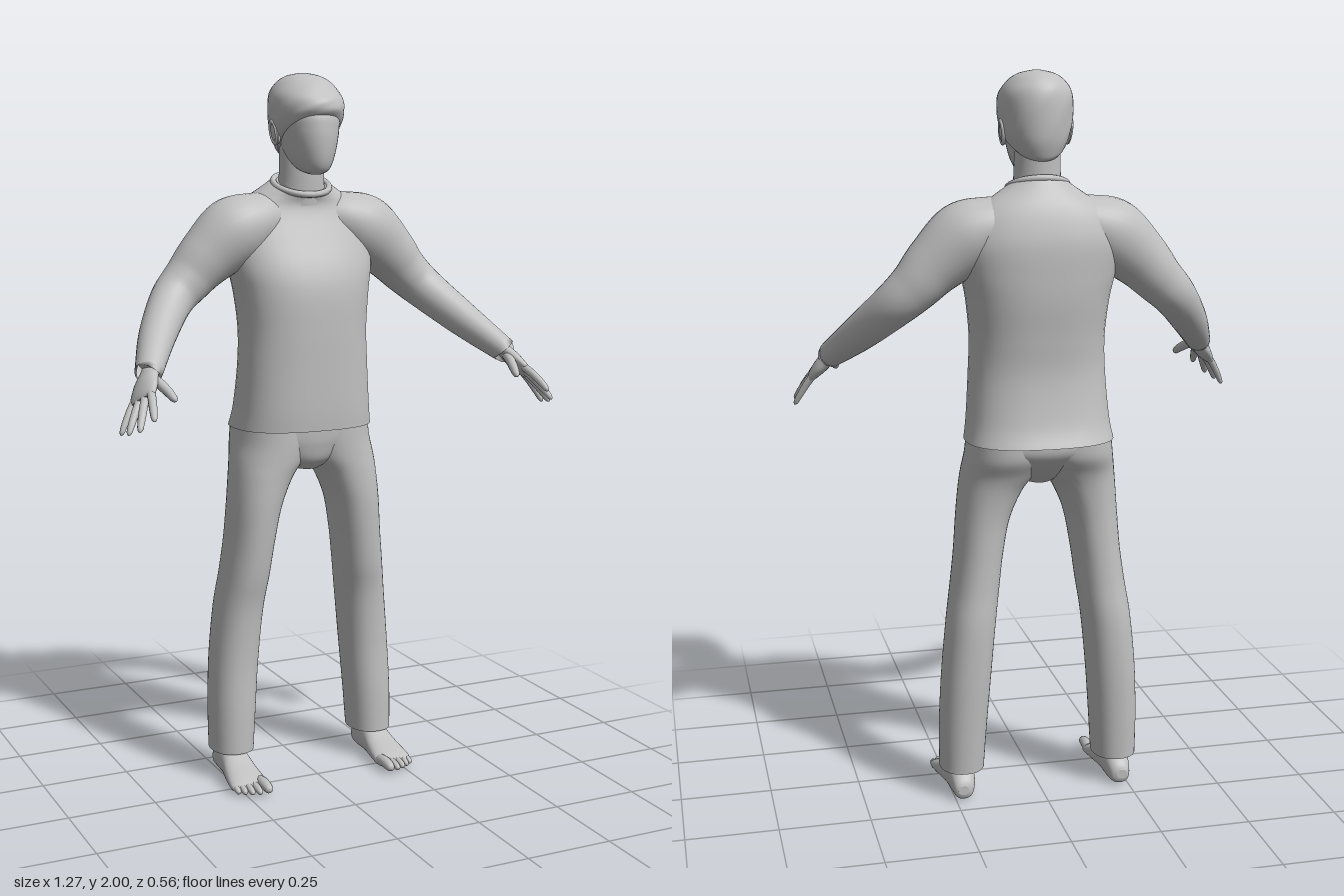
import * as THREE from 'three';

const grey = new THREE.MeshStandardMaterial({ color: 0xc0c0c0 });
grey.name = 'plain grey';

// Column-wise Catmull-Rom refinement of section rows
function smooth(rows, k) {
  const out = [];
  const at = i => rows[Math.max(0, Math.min(rows.length - 1, i))];
  for (let i = 0; i < rows.length - 1; i++) {
    for (let s = 0; s < k; s++) {
      const t = s / k;
      out.push(rows[i].map((b, c) => {
        const a = at(i - 1)[c], d = at(i + 1)[c], e = at(i + 2)[c];
        return b + 0.5 * t * (d - a + t * (2 * a - 5 * b + 4 * d - e + t * (3 * (b - d) + e - a)));
      }));
    }
  }
  out.push(rows[rows.length - 1]);
  return out;
}

// Closed skin over equal-length rings, with flat sharp-edged end caps
function skin(rings) {
  const n = rings[0].length, pos = [], idx = [];
  rings.forEach(r => r.forEach(p => pos.push(p.x, p.y, p.z)));
  for (let i = 0; i < rings.length - 1; i++) {
    for (let j = 0; j < n; j++) {
      const a = i * n + j, b = i * n + (j + 1) % n;
      idx.push(a, a + n, b, b, a + n, b + n);
    }
  }
  [rings[0], rings[rings.length - 1]].forEach((r, end) => {
    const base = pos.length / 3, c = new THREE.Vector3();
    r.forEach(p => { c.add(p); pos.push(p.x, p.y, p.z); });
    c.divideScalar(n);
    pos.push(c.x, c.y, c.z);
    for (let j = 0; j < n; j++) {
      const a = base + j, b = base + (j + 1) % n;
      if (end) idx.push(base + n, b, a); else idx.push(base + n, a, b);
    }
  });
  const g = new THREE.BufferGeometry();
  g.setAttribute('position', new THREE.Float32BufferAttribute(pos, 3));
  g.setIndex(idx);
  g.computeVertexNormals();
  return g;
}

// Upright form; rows are [y, x0, x1, zBack, zFront, squareness, frontLift]
function column(rows, bump = () => 0, seg = 40) {
  return skin(smooth(rows, 6).map(([y, x0, x1, zb, zf, e, lift]) =>
    Array.from({ length: seg }, (_, j) => {
      const a = j / seg * Math.PI * 2, c = Math.cos(a), s = Math.sin(a);
      const k = 1 + bump(a, y);
      const px = Math.sign(c) * Math.abs(c) ** (2 / e), pz = Math.sign(s) * Math.abs(s) ** (2 / e);
      return new THREE.Vector3((x0 + x1) / 2 + px * k * (x1 - x0) / 2, y + lift * pz,
        (zb + zf) / 2 + pz * k * (zf - zb) / 2);
    })));
}

// Bent form along a path; rows are [x, y, z, radius across, radius through]
function limb(rows, across = [0, 0, 1], seg = 28) {
  const r = smooth(rows, 6);
  const P = r.map(q => new THREE.Vector3(q[0], q[1], q[2]));
  return skin(r.map((q, i) => {
    const t = P[Math.min(i + 1, P.length - 1)].clone().sub(P[Math.max(i - 1, 0)]).normalize();
    const u = new THREE.Vector3(...across);
    u.addScaledVector(t, -u.dot(t)).normalize();
    const v = u.clone().cross(t);
    return Array.from({ length: seg }, (_, j) => {
      const a = j / seg * Math.PI * 2;
      return P[i].clone().addScaledVector(u, Math.cos(a) * q[3]).addScaledVector(v, Math.sin(a) * q[4]);
    });
  }));
}

// Tapered digit with a rounded tip
function digit(from, to, r) {
  const a = new THREE.Vector3(...from), b = new THREE.Vector3(...to);
  const rows = [[0, 1], [0.35, 0.98], [0.7, 0.88], [0.9, 0.7], [0.97, 0.42], [1, 0.05]].map(([t, k]) => {
    const p = a.clone().lerp(b, t);
    return [p.x, p.y + Math.sin(t * Math.PI) * 0.005, p.z, r * k, r * k];
  });
  return limb(rows, [1, 0.2, 0], 12);
}

function mirrored(g) {
  const m = g.clone().scale(-1, 1, 1), ix = m.index.array;
  for (let i = 0; i < ix.length; i += 3) [ix[i], ix[i + 1]] = [ix[i + 1], ix[i]];
  m.computeVertexNormals();
  return m;
}

export function createModel() {
  const model = new THREE.Group();
  model.name = 'standingMan';
  const add = (name, g) => {
    const m = new THREE.Mesh(g, grey);
    m.name = name;
    model.add(m);
  };
  const pair = (name, g) => { add(name + 'Left', g); add(name + 'Right', mirrored(g)); };
  const even = rows => rows.map(([y, w, zb, zf, e = 2, lift = 0]) => [y, -w, w, zb, zf, e, lift]);

  // Sweater body
  add('sweater', column(even([
    [1.02, 0.204, -0.278, 0.03, 2.5], [1.08, 0.195, -0.255, 0.033, 2.5], [1.2, 0.187, -0.236, 0.034, 2.4],
    [1.3, 0.184, -0.24, 0.034, 2.4], [1.4, 0.194, -0.25, 0.03, 2.4], [1.47, 0.208, -0.252, 0.014, 2.4],
    [1.55, 0.215, -0.25, -0.02, 2.4], [1.61, 0.198, -0.238, -0.045, 2.3], [1.65, 0.165, -0.22, -0.053, 2.2, -0.008],
    [1.68, 0.12, -0.195, -0.048, 2, -0.018], [1.7, 0.085, -0.175, -0.04, 2, -0.028]])));

  // Neckline band
  const loop = Array.from({ length: 24 }, (_, i) => {
    const a = i / 24 * Math.PI * 2;
    return new THREE.Vector3(Math.cos(a) * 0.08, 1.698 - 0.027 * Math.sin(a), -0.108 + Math.sin(a) * 0.066);
  });
  add('collar', new THREE.TubeGeometry(new THREE.CatmullRomCurve3(loop, true), 64, 0.009, 10, true));

  // Sleeves
  pair('sleeve', limb([
    [0.07, 1.605, -0.13, 0.07, 0.065], [0.13, 1.597, -0.127, 0.09, 0.08], [0.2, 1.567, -0.122, 0.096, 0.098],
    [0.28, 1.502, -0.123, 0.078, 0.082], [0.335, 1.445, -0.122, 0.066, 0.069], [0.392, 1.39, -0.1, 0.059, 0.06],
    [0.465, 1.31, -0.01, 0.052, 0.05], [0.527, 1.238, 0.098, 0.041, 0.037], [0.533, 1.231, 0.108, 0.039, 0.035]]));

  // Hands
  const across = [-0.41, 0.375, 0.83];
  pair('palm', limb([
    [0.515, 1.25, 0.08, 0.03, 0.024], [0.535, 1.225, 0.115, 0.031, 0.02], [0.553, 1.2, 0.14, 0.042, 0.02],
    [0.57, 1.176, 0.166, 0.045, 0.015], [0.576, 1.167, 0.176, 0.038, 0.009]], across));
  [['indexFinger', [0.556, 1.187, 0.19], [0.58, 1.13, 0.279], 0.0115],
    ['middleFinger', [0.565, 1.179, 0.172], [0.61, 1.1, 0.252], 0.0115],
    ['ringFinger', [0.573, 1.171, 0.156], [0.627, 1.087, 0.213], 0.011],
    ['littleFinger', [0.582, 1.165, 0.138], [0.632, 1.08, 0.168], 0.01],
    ['thumb', [0.532, 1.217, 0.132], [0.505, 1.17, 0.235], 0.014]]
    .forEach(([name, a, b, r]) => pair(name, digit(a, b, r)));

  // Trousers
  add('trouserSeat', column(even([
    [0.9, 0.04, -0.16, -0.04], [0.93, 0.11, -0.2, -0.012], [0.97, 0.185, -0.238, 0],
    [1.0, 0.198, -0.256, 0.004, 2.3], [1.04, 0.198, -0.258, 0.006, 2.4]])));
  pair('trouserLeg', column([
    [0.08, 0.16, 0.284, -0.196, -0.045], [0.2, 0.152, 0.284, -0.204, -0.044], [0.35, 0.14, 0.277, -0.212, -0.047],
    [0.5, 0.126, 0.262, -0.214, -0.038], [0.6, 0.113, 0.247, -0.206, -0.02], [0.7, 0.1, 0.234, -0.202, -0.008],
    [0.8, 0.08, 0.226, -0.202, 0], [0.88, 0.045, 0.219, -0.21, 0.002], [0.93, 0.008, 0.213, -0.224, 0.003],
    [0.98, -0.01, 0.204, -0.25, 0.004], [1.03, -0.01, 0.198, -0.255, 0.004]].map(r => [...r, 2.2, 0])));

  // Bare feet
  pair('ankle', limb([[0.226, 0.04, -0.135, 0.038, 0.034], [0.225, 0.08, -0.13, 0.042, 0.034],
    [0.222, 0.15, -0.125, 0.042, 0.038]]));
  pair('foot', column([
    [-0.195, 0.215, 0.245, -0.045, -0.018], [-0.185, 0.2, 0.255, -0.062, -0.003], [-0.15, 0.19, 0.262, -0.09, 0],
    [-0.09, 0.187, 0.268, -0.092, 0], [-0.03, 0.18, 0.278, -0.062, 0], [0.02, 0.176, 0.284, -0.042, 0],
    [0.045, 0.179, 0.281, -0.03, -0.002], [0.058, 0.19, 0.268, -0.022, -0.007]]
    .map(r => [...r, 2.3, 0])).rotateX(Math.PI / 2));
  [[0.193, 0.1, 0.0165], [0.218, 0.095, 0.0115], [0.238, 0.087, 0.011], [0.256, 0.076, 0.0105], [0.272, 0.064, 0.01]]
    .forEach(([x, z, r], i) => pair('toe' + (i + 1), digit([x, r + 0.004, 0.025], [x, r, z], r)));

  // Neck and smooth blank face
  add('neck', column(even([
    [1.64, 0.072, -0.175, -0.05], [1.7, 0.065, -0.168, -0.046], [1.76, 0.062, -0.168, -0.045], [1.82, 0.062, -0.17, -0.05]])));
  add('face', column(even([
    [1.727, 0.014, -0.04, 0.008], [1.735, 0.034, -0.066, 0.024], [1.75, 0.048, -0.1, 0.034], [1.775, 0.061, -0.135, 0.041],
    [1.81, 0.071, -0.16, 0.045, 2.1], [1.85, 0.08, -0.178, 0.045, 2.1], [1.89, 0.084, -0.185, 0.038, 2.1],
    [1.94, 0.07, -0.17, 0.005]])));

  // Hair cap, low at the nape and lifted over the brow
  const wave = (a, y) => 0.012 * Math.sin(5 * a + 30 * y) * Math.sin(55 * y + 2 * a);
  add('hair', column(even([
    [1.825, 0.076, -0.172, 0.034, 2, 0.058], [1.835, 0.087, -0.182, 0.044, 2, 0.055], [1.865, 0.096, -0.195, 0.05, 2.1, 0.04],
    [1.91, 0.1, -0.199, 0.044, 2.1, 0.015], [1.945, 0.094, -0.193, 0.026, 2.1, 0], [1.975, 0.073, -0.175, -0.008, 2, 0],
    [1.992, 0.045, -0.15, -0.045, 2, 0], [2, 0.008, -0.11, -0.085, 2, 0]]), wave));

  // Ears with a raised rim
  pair('ear', new THREE.SphereGeometry(1, 20, 14).scale(0.011, 0.032, 0.02)
    .rotateX(-0.2).rotateZ(-0.12).translate(0.086, 1.838, -0.087));
  pair('earRim', new THREE.TorusGeometry(0.021, 0.005, 8, 24).rotateY(Math.PI / 2).scale(1, 1.4, 0.9)
    .rotateX(-0.2).rotateZ(-0.12).translate(0.092, 1.84, -0.088));

  return model;
}
